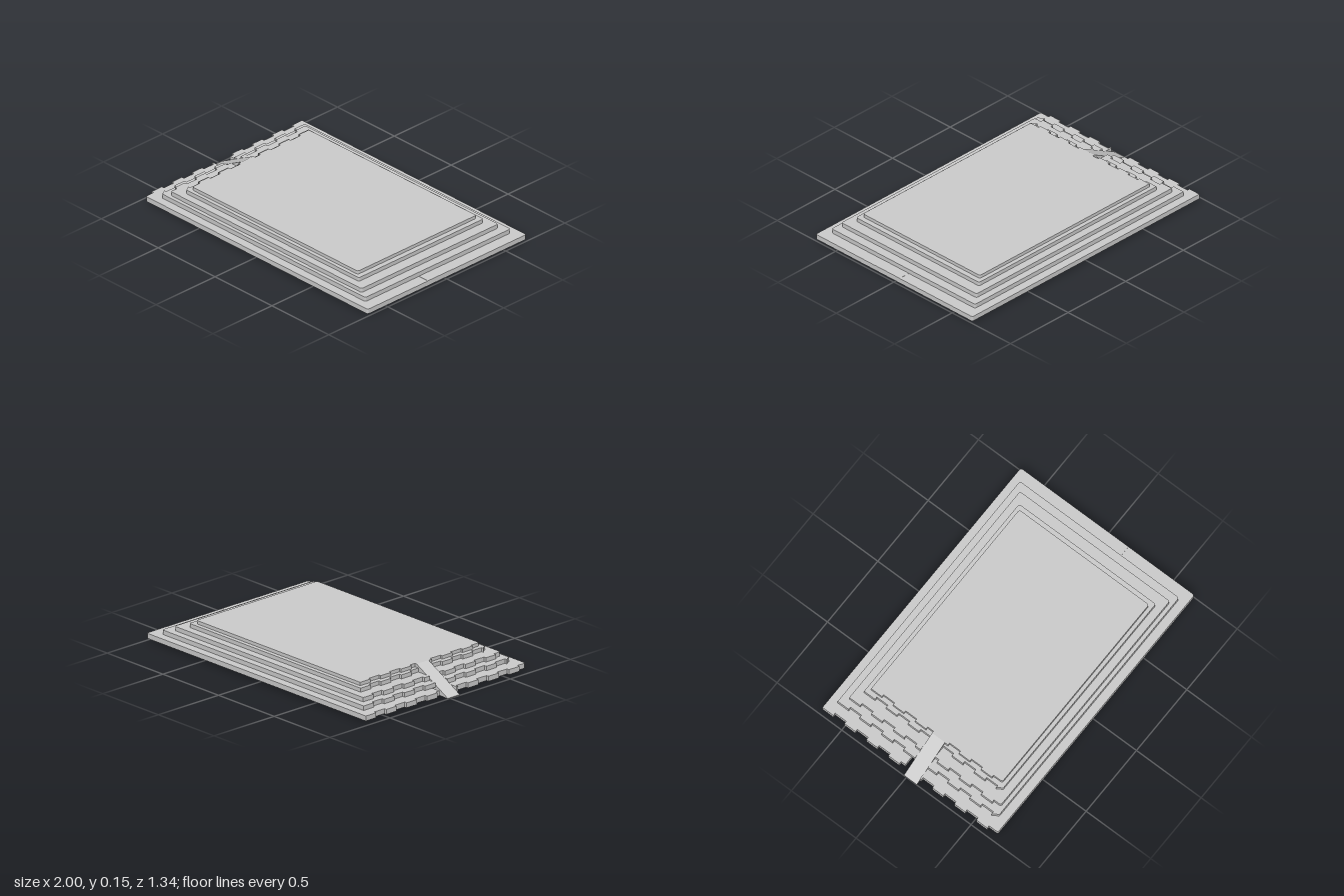
import * as THREE from 'three';

const material = new THREE.MeshStandardMaterial({ color: 0xcccccc, flatShading: true });
const RAMP = { z0: -0.02, z1: 0.08, inner: -0.705 };

// One slab: plain on three sides, toothed along -x, with a slot for the ramp
function tier({ left, right, back, front, bottom, top, depth, slotBack }) {
  const r = 0.015, pitch = 0.17, tooth = 0.085;
  const s = new THREE.Shape();
  const line = (x, z) => s.lineTo(x, -z);
  const curve = (cx, cz, x, z) => s.quadraticCurveTo(cx, -cz, x, -z);

  s.moveTo(left, -back);
  line(right - r, back);
  curve(right, back, right, back + r);
  line(right, front - r);
  curve(right, front, right - r, front);
  line(left + depth + r, front);
  curve(left + depth, front, left + depth, front - r);

  // Tooth borders from front to back, leaving out those inside the slot
  const isTooth = (z) => (((z - back) % pitch) + pitch) % pitch < tooth;
  const edge = (z) => (isTooth(z) ? left : left + depth);
  const borders = [];
  for (let z = back + tooth; z < front - r - 0.01; z += tooth) borders.push(z);
  borders.reverse();
  const step = (z) => {
    line(edge(z + 0.002), z);
    line(edge(z - 0.002), z);
  };
  borders.filter((z) => z > RAMP.z1 + 0.005).forEach(step);
  line(edge(RAMP.z1 + 0.004), RAMP.z1);
  line(RAMP.inner, RAMP.z1);
  line(RAMP.inner, RAMP.z0);
  if (slotBack < RAMP.z0) {
    line(-0.87, RAMP.z0);
    line(-0.87, slotBack);
  }
  line(edge(slotBack - 0.004), slotBack);
  borders.filter((z) => z < slotBack - 0.005).forEach(step);
  s.closePath();

  const g = new THREE.ExtrudeGeometry(s, { depth: top - bottom, bevelEnabled: false, curveSegments: 4 });
  g.rotateX(-Math.PI / 2);
  g.translate(0, bottom, 0);
  return new THREE.Mesh(g, material);
}

export function createModel() {
  const model = new THREE.Group();
  model.name = 'steppedPlatform';

  // Stacked tiers: left, right, back, front, bottom, top, tooth depth, slot back
  const tiers = [
    [-0.97, 1.0, -0.673, 0.67, 0.015, 0.048, 0.018, -0.045],
    [-0.89, 0.92, -0.617, 0.613, 0.048, 0.077, 0.018, RAMP.z0],
    [-0.835, 0.86, -0.57, 0.588, 0.077, 0.105, 0.018, RAMP.z0],
    [-0.755, 0.785, -0.518, 0.538, 0.105, 0.131, 0.018, RAMP.z0],
    [-0.722, 0.75, -0.49, 0.513, 0.131, 0.153, 0.016, RAMP.z0],
  ];
  tiers.forEach(([left, right, back, front, bottom, top, depth, slotBack], i) => {
    const mesh = tier({ left, right, back, front, bottom, top, depth, slotBack });
    mesh.name = `tier${i + 1}`;
    model.add(mesh);
  });

  // Entrance ramp rising through the slots to the top tier
  const profile = new THREE.Shape([
    new THREE.Vector2(-1, 0),
    new THREE.Vector2(-0.82, 0.015),
    new THREE.Vector2(RAMP.inner, 0.015),
    new THREE.Vector2(RAMP.inner, 0.153),
    new THREE.Vector2(-0.72, 0.153),
    new THREE.Vector2(-1, 0.005),
  ]);
  const rampGeometry = new THREE.ExtrudeGeometry(profile, { depth: RAMP.z1 - RAMP.z0, bevelEnabled: false });
  rampGeometry.translate(0, 0, RAMP.z0);
  const ramp = new THREE.Mesh(rampGeometry, material);
  ramp.name = 'ramp';
  model.add(ramp);

  // Thin panel on the lowest ledge opposite the ramp
  const panel = new THREE.Mesh(new THREE.BoxGeometry(0.08, 0.002, 0.21), material);
  panel.name = 'ledgePanel';
  panel.position.set(0.96, 0.048, 0.055);
  model.add(panel);

  return model;
}
